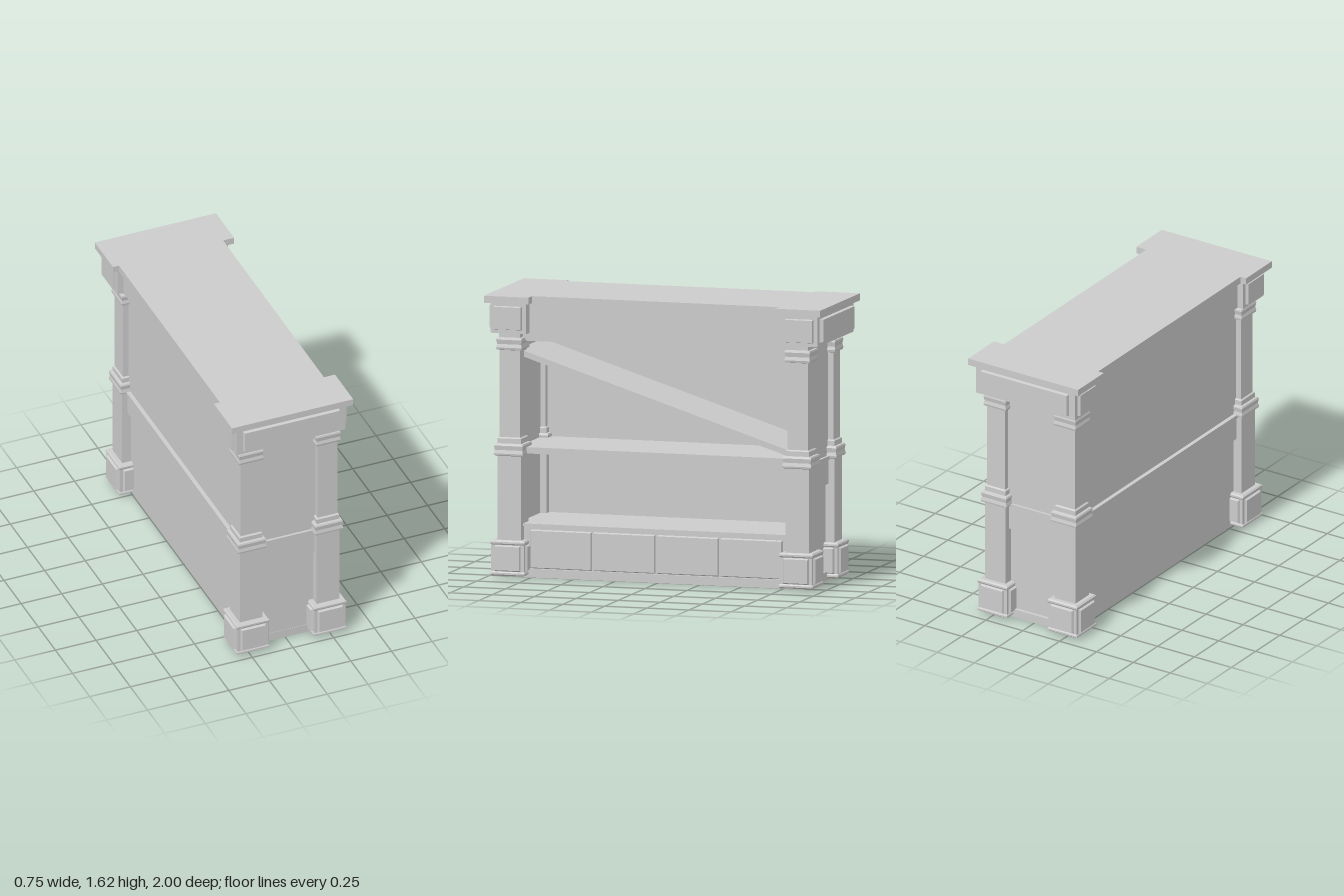
import * as THREE from 'three';

const mat = new THREE.MeshStandardMaterial({ color: 0xcccccc, flatShading: true });

export function createModel() {
  const root = new THREE.Group();
  root.name = 'bookcase';

  const add = (name, geo, parent = root) => {
    const m = new THREE.Mesh(geo, mat);
    m.name = name;
    parent.add(m);
    return m;
  };
  // box given by its limits on each axis
  const box = (name, x0, x1, y0, y1, z0, z1, parent = root) => {
    const m = add(name, new THREE.BoxGeometry(x1 - x0, y1 - y0, z1 - z0), parent);
    m.position.set((x0 + x1) / 2, (y0 + y1) / 2, (z0 + z1) / 2);
    return m;
  };
  // square turned profile: list of [half width, y]
  const squareTurned = (name, profile, parent) => {
    const pts = profile.map(([h, y]) => new THREE.Vector2(h * Math.SQRT2, y));
    return add(name, new THREE.LatheGeometry(pts, 4, Math.PI / 4), parent);
  };
  // raised panel with sloping edges, facing +z, back on z = 0
  const raisedPanel = (w, h, d, bevel) => {
    const g = new THREE.BoxGeometry(w, h, d);
    const p = g.attributes.position;
    for (let i = 0; i < p.count; i++) {
      if (p.getZ(i) > 0) {
        p.setX(i, p.getX(i) - Math.sign(p.getX(i)) * bevel);
        p.setY(i, p.getY(i) - Math.sign(p.getY(i)) * bevel);
      }
    }
    return g.translate(0, 0, d / 2);
  };

  // four corner columns with panelled plinth blocks
  const shaft = [
    [0, 0.2], [0.07, 0.2], [0.07, 0.695], [0.085, 0.7], [0.087, 0.71], [0.082, 0.73],
    [0.086, 0.755], [0.082, 0.764], [0.07, 0.767], [0.07, 0.795], [0.061, 0.802],
    [0.061, 1.3], [0.073, 1.303], [0.076, 1.315], [0.071, 1.335], [0.076, 1.36],
    [0.073, 1.37], [0.062, 1.373], [0.062, 1.4], [0, 1.4],
  ];
  const block = [
    [0, 0.012], [0.09, 0.012], [0.101, 0.02], [0.101, 0.03], [0.096, 0.037],
    [0.096, 0.19], [0.101, 0.197], [0.101, 0.207], [0.093, 0.215], [0, 0.215],
  ];
  for (const x of [-0.231, 0.242]) {
    for (const z of [0.868, -0.846]) {
      const column = new THREE.Group();
      column.name = 'cornerColumn';
      column.position.set(x, 0, z);
      root.add(column);
      squareTurned('columnShaft', shaft, column);
      squareTurned('plinthBlock', block, column);
      for (let i = 0; i < 4; i++) {
        const side = new THREE.Group();
        side.name = 'plinthPanel';
        side.rotation.y = i * Math.PI / 2;
        column.add(side);
        const m = add('plinthPanelFace', raisedPanel(0.155, 0.15, 0.014, 0.007), side);
        m.position.set(0, 0.113, 0.095);
      }
    }
  }

  // lower cabinet
  box('cabinetBase', -0.244, 0.27, 0, 0.05, -0.88, 0.885);
  box('cabinetBody', -0.244, 0.258, 0.05, 0.295, -0.86, 0.86);
  box('cabinetTop', -0.23, 0.272, 0.293, 0.308, -0.85, 0.85);
  for (let i = 0; i < 4; i++) {
    const d = add('drawerFront', raisedPanel(0.368, 0.222, 0.014, 0.006));
    d.rotation.y = Math.PI / 2;
    d.position.set(0.258, 0.163, 0.576 - i * 0.378);
  }

  // end walls: recessed lower panel, rail, sill and upper panel
  for (const s of [1, -1]) {
    const c = 0.011;
    const slab = (name, x0, x1, y0, y1, a, b) => {
      const za = c + s * a, zb = c + s * b;
      box(name, x0, x1, y0, y1, Math.min(za, zb), Math.max(za, zb));
    };
    slab('endLowerPanel', -0.24, 0.262, 0.01, 0.57, 0.825, 0.872);
    slab('endRail', -0.24, 0.262, 0.55, 0.69, 0.825, 0.892);
    slab('endSill', -0.24, 0.262, 0.69, 0.71, 0.825, 0.9);
    slab('endUpperPanel', -0.24, 0.262, 0.7, 1.41, 0.825, 0.885);
  }

  // back wall, laid out like the ends
  box('backLowerPanel', -0.246, -0.215, 0.01, 0.57, -0.85, 0.85);
  box('backRail', -0.268, -0.215, 0.55, 0.69, -0.85, 0.85);
  box('backSill', -0.282, -0.215, 0.69, 0.71, -0.85, 0.85);
  box('backUpperPanel', -0.258, -0.215, 0.7, 1.41, -0.85, 0.85);

  // level shelf and slanted board
  box('shelf', -0.23, 0.25, 0.706, 0.742, -0.85, 0.85);
  const slope = 0.32;
  const board = add('slantedBoard', new THREE.BoxGeometry(0.46, 0.033, 1.68 * Math.hypot(1, slope)));
  board.position.set(0, 1.018, 0.01);
  board.rotation.x = -Math.atan(slope);

  // head: ceiling, long beam and a panelled crosspiece at each end
  box('ceiling', -0.25, 0.245, 1.35, 1.41, -0.85, 0.85);
  box('headBeam', -0.3, 0.268, 1.4, 1.58, -0.8, 0.8);
  for (const s of [1, -1]) {
    const head = new THREE.Group();
    head.name = 'endHead';
    head.rotation.y = s > 0 ? 0 : Math.PI;
    root.add(head);
    const off = -0.0015 * s;
    box('headBlock', off - 0.335, off + 0.335, 1.4, 1.58, 0.76, 0.973, head);
    const front = add('headEndPanel', raisedPanel(0.59, 0.135, 0.02, 0.004), head);
    front.position.set(off, 1.488, 0.973);
    for (const t of [1, -1]) {
      const p = add('headSidePanel', raisedPanel(0.165, 0.135, 0.02, 0.004), head);
      p.rotation.y = t * Math.PI / 2;
      p.position.set(off + t * 0.335, 1.488, 0.867);
    }
  }

  // top slab with wider ends
  const outline = new THREE.Shape([
    [-0.375, -1], [0.37, -1], [0.37, -0.735], [0.302, -0.735], [0.302, 0.735], [0.37, 0.735],
    [0.37, 1], [-0.375, 1], [-0.375, 0.735], [-0.338, 0.735], [-0.338, -0.735], [-0.375, -0.735],
  ].map(([x, z]) => new THREE.Vector2(x, z)));
  const top = add('topSlab', new THREE.ExtrudeGeometry(outline, { depth: 0.04, bevelEnabled: false }));
  top.rotation.x = -Math.PI / 2;
  top.position.y = 1.575;

  return root;
}
